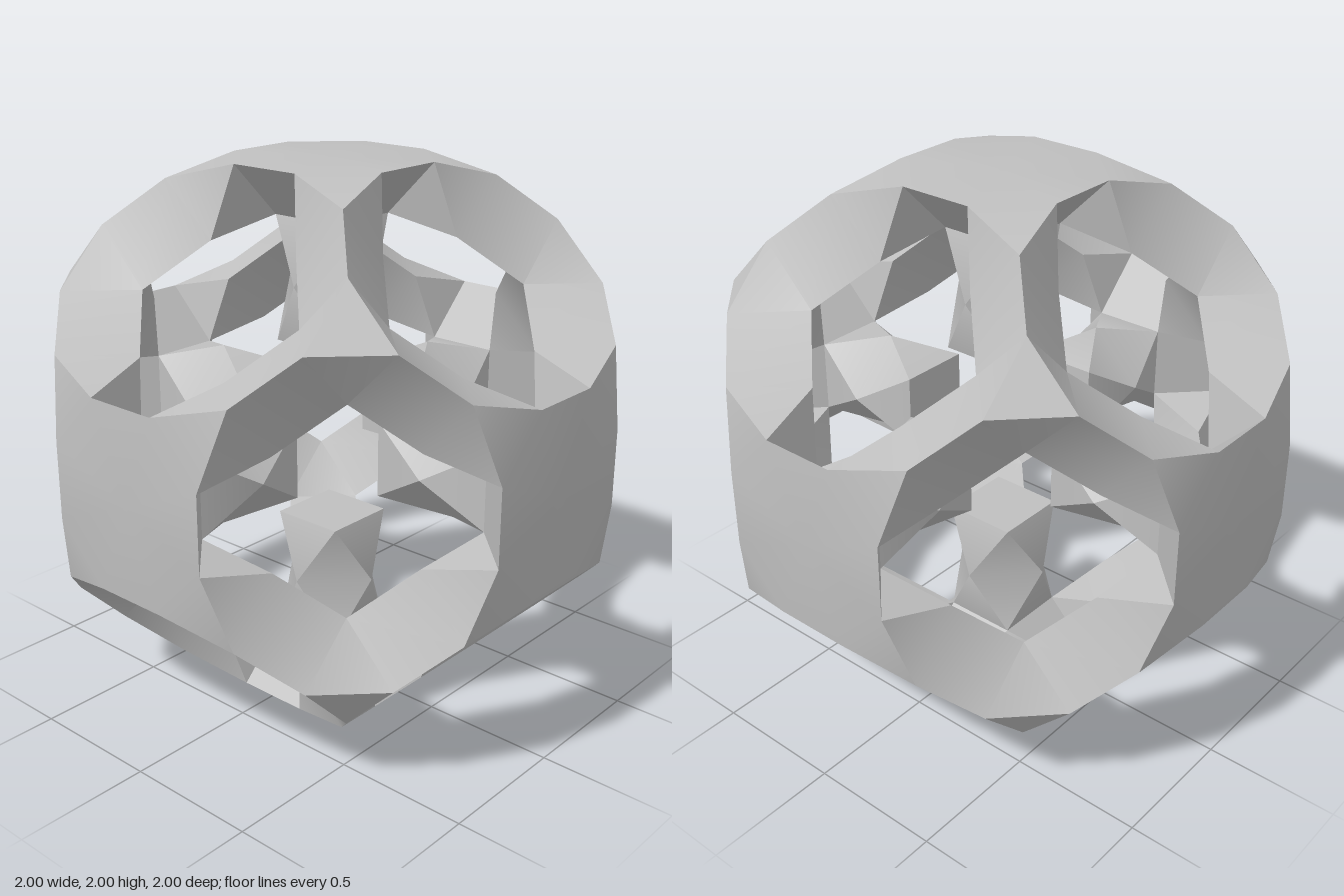
import * as THREE from 'three';
import { toCreasedNormals } from 'three/addons/utils/BufferGeometryUtils.js';

const V = (x, y, z) => new THREE.Vector3(x, y, z);
const swapXZ = (p) => V(p.z, p.y, p.x);
const flipX = (p) => V(-p.x, p.y, p.z);

// Fan a polygon into triangles, wound so that it faces along "out"
function addFace(list, pts, out) {
  for (let i = 1; i < pts.length - 1; i++) {
    const [a, b, c] = [pts[0], pts[i], pts[i + 1]];
    const n = b.clone().sub(a).cross(c.clone().sub(a));
    list.push(...(n.dot(out) < 0 ? [a, c, b] : [a, b, c]));
  }
}

// Add a face and its mirror across the x = z diagonal
function addPair(list, pts, out) {
  addFace(list, pts, out);
  addFace(list, pts.map(swapXZ), swapXZ(out));
}

// Key points of one quarter of the top face
const rim = V(0.14, 1, 0.34), rimIn = V(0.14, 0.8, 0.14);
const leg = V(0.41, 0.93, 0.41), legIn = V(0.2, 0.74, 0.4);
const tipY = V(0.57, 0.77, 0.57), tipZ = V(0.57, 0.57, 0.77), tipX = V(0.77, 0.57, 0.57);
const footX = V(0.37, 0.57, 0.57), footY = V(0.57, 0.37, 0.57), footZ = V(0.57, 0.57, 0.37);

function frameQuarter() {
  const t = [], up = V(0, 1, 0), inward = V(-1, -2, -1);
  // outer panel
  addFace(t, [V(0, 1, 0), flipX(rim), rim], up);
  addFace(t, [V(0, 1, 0), rim, swapXZ(rim)], up);
  addFace(t, [rim, swapXZ(rim), leg], up);
  // sloped rim of the opening
  addFace(t, [flipX(rim), rim, rimIn, flipX(rimIn)], V(0, -1, 1));
  // side walls of the leg
  addPair(t, [rim, rimIn, legIn], V(-1, 0, 0));
  addPair(t, [rim, legIn, leg], V(0, 0, 1));
  addPair(t, [leg, legIn, footX, tipY], V(0, 0, 1));
  // inner side of the leg
  addFace(t, [rimIn, legIn, swapXZ(legIn)], inward);
  addFace(t, [legIn, footX, footZ, swapXZ(legIn)], inward);
  // corner wall facing the opening
  addFace(t, [tipY, tipZ, footX], V(-1, 1, 1));
  return t;
}

// Outer and inner triangles where three legs meet
function cornerJoint() {
  const t = [];
  addFace(t, [tipX, tipY, tipZ], V(1, 1, 1));
  addFace(t, [footX, footY, footZ], V(-1, -1, -1));
  return t;
}

// Quarter of the faceted knob on the inside of a panel
function knobQuarter() {
  const t = [], end = V(0.14, 0.34, 0.14);
  const midZ = V(0, 0.57, 0.2), midX = V(0.2, 0.57, 0);
  for (const corner of [rimIn, end]) {
    addFace(t, [flipX(corner), corner, midZ], V(0, 0, 1));
    addFace(t, [corner, midZ, midX], V(1, 0, 1));
  }
  addFace(t, [V(0, 0.34, 0), end, flipX(end)], V(0, -1, 0));
  return t;
}

// Repeat a quarter four times around y
function aroundY(tris) {
  const all = [];
  for (let k = 0; k < 4; k++) {
    const m = new THREE.Matrix4().makeRotationY(k * Math.PI / 2);
    all.push(...tris.map((p) => p.clone().applyMatrix4(m)));
  }
  return all;
}

function toGeometry(points) {
  const g = new THREE.BufferGeometry().setFromPoints(points);
  return toCreasedNormals(g, Math.PI / 6);
}

export function createModel() {
  const model = new THREE.Group();
  const grey = new THREE.MeshStandardMaterial({ color: 0xc0c0c0 });
  grey.name = 'plain grey';

  const H = Math.PI / 2;
  const turns = [[0, 0], [2 * H, 0], [H, 0], [-H, 0], [0, H], [0, -H]];
  const faceTris = aroundY(frameQuarter());
  const jointTris = aroundY(cornerJoint());
  const knobGeometry = toGeometry(aroundY(knobQuarter()));
  const framePoints = [];

  turns.forEach(([rx, rz], i) => {
    const m = new THREE.Matrix4().makeRotationFromEuler(new THREE.Euler(rx, 0, rz));
    // joints: four from the top, four from the bottom
    const tris = i < 2 ? [...faceTris, ...jointTris] : faceTris;
    framePoints.push(...tris.map((p) => p.clone().applyMatrix4(m)));

    const knob = new THREE.Mesh(knobGeometry, grey);
    knob.name = 'innerKnob';
    knob.rotation.set(rx, 0, rz);
    knob.position.y = 1;
    model.add(knob);
  });

  const frame = new THREE.Mesh(toGeometry(framePoints), grey);
  frame.name = 'outerFrame';
  frame.position.y = 1;
  model.add(frame);
  return model;
}
